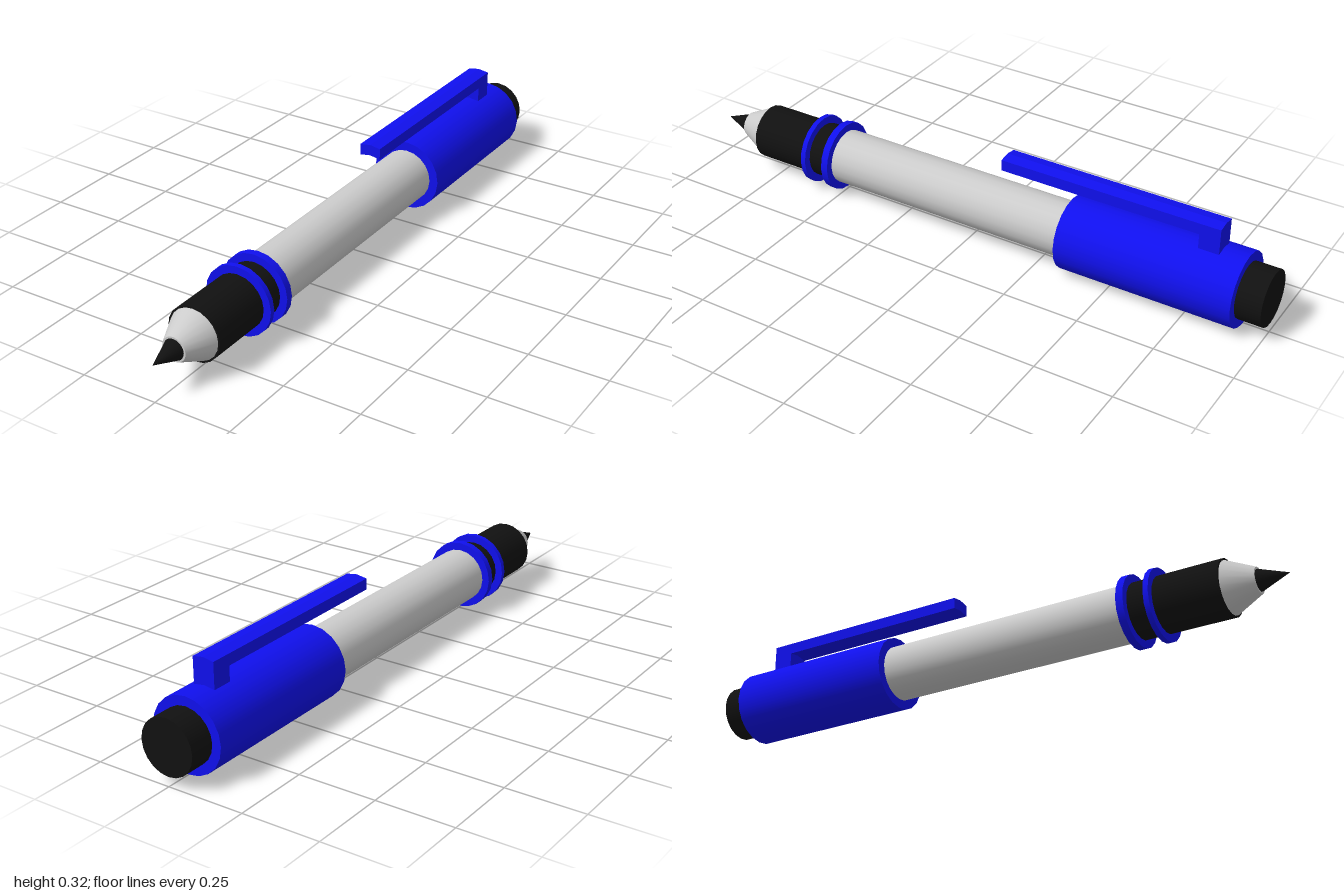
import * as THREE from 'three';

const SIDES = 20;
const AXIS_Y = 0.119;

export function createModel() {
  const pen = new THREE.Group();
  pen.name = 'pen';
  const grey = new THREE.MeshStandardMaterial({ color: 0xcccccc });
  const blue = new THREE.MeshStandardMaterial({ color: 0x1010ee });
  const black = new THREE.MeshStandardMaterial({ color: 0x111111 });

  const add = (name, geometry, material) => {
    const mesh = new THREE.Mesh(geometry, material);
    mesh.name = name;
    mesh.position.y = AXIS_Y;
    pen.add(mesh);
  };

  // Round section along z, from the back radius to the front radius
  const section = (name, material, zBack, zFront, rBack, rFront = rBack) => {
    const g = new THREE.CylinderGeometry(rFront, rBack, zFront - zBack, SIDES);
    g.rotateX(Math.PI / 2).translate(0, 0, (zBack + zFront) / 2);
    add(name, g, material);
  };

  // Body, from the back end to the writing tip
  section('endPlug', black, -1, -0.918, 0.089);
  section('cap', blue, -0.918, -0.341, 0.119);
  section('barrel', grey, -0.341, 0.515, 0.089);
  section('grip', black, 0.515, 0.817, 0.089);
  section('rearRing', blue, 0.503, 0.527, 0.114);
  section('frontRing', blue, 0.592, 0.609, 0.114);
  section('noseCone', grey, 0.817, 0.907, 0.083, 0.04);
  section('tip', black, 0.907, 1, 0.034, 0);

  // Clip pieces: strips of a faceted ring around the pen axis, extruded along z
  const strip = (name, rInner, rOuter, zBack, zFront) => {
    const w = 0.036;
    const drop = w * Math.tan(Math.PI / SIDES);
    const shape = new THREE.Shape([
      [-w, rInner - drop], [0, rInner], [w, rInner - drop],
      [w, rOuter - drop], [0, rOuter], [-w, rOuter - drop],
    ].map(([x, y]) => new THREE.Vector2(x, y)));
    const g = new THREE.ExtrudeGeometry(shape, { depth: zFront - zBack, bevelEnabled: false });
    add(name, g.translate(0, 0, zBack), blue);
  };
  strip('clipArm', 0.167, 0.203, -0.837, -0.11);
  strip('clipPost', 0.112, 0.167, -0.837, -0.771);

  return pen;
}
